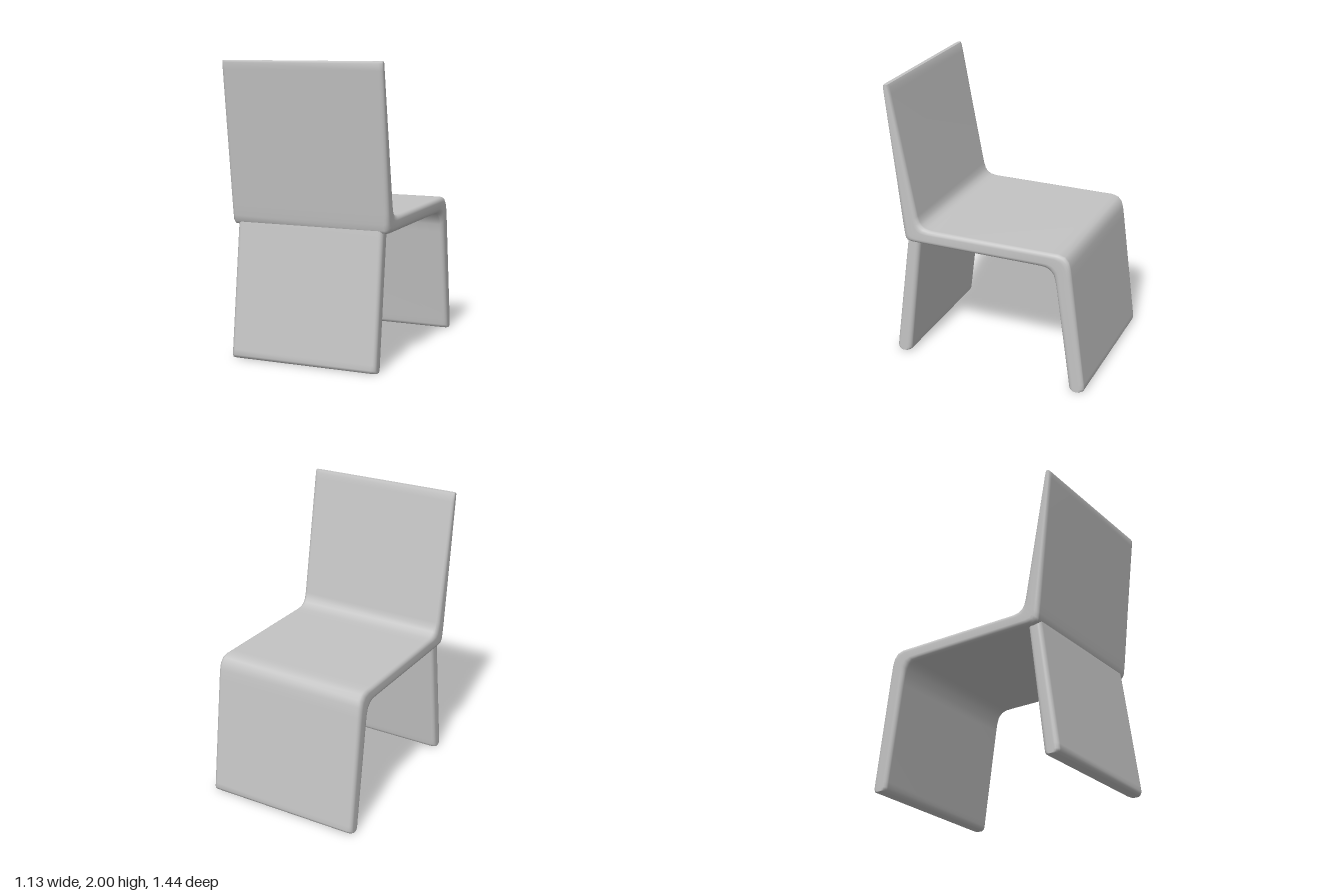
import * as THREE from 'three';

// Unit cross-section: rounded rectangle, x in -1..1 with corner offset, t in 0..1
function roundedSection(halfWidth, rx, rt, steps = 4) {
  const pts = [];
  const corners = [[1, 1], [-1, 1], [-1, 0], [1, 0]];
  corners.forEach(([sx, t], c) => {
    const cx = sx * (halfWidth - rx);
    const ct = t ? 1 - rt : rt;
    for (let i = 0; i <= steps; i++) {
      const a = (c + i / steps) * Math.PI / 2;
      pts.push([cx + rx * Math.cos(a), ct + rt * Math.sin(a)]);
    }
  });
  return pts;
}

// Lofts a bent sheet through stations [zA, yA, zB, yB]: its two faces at each step
function bentSheet(stations, halfWidth) {
  const ring = roundedSection(halfWidth, 0.03, 0.3);
  const n = ring.length;
  const pos = [];
  const index = [];
  const addRing = ([za, ya, zb, yb]) => {
    for (const [x, t] of ring) pos.push(x, ya + (yb - ya) * t, za + (zb - za) * t);
  };
  stations.forEach(addRing);
  for (let i = 0; i < stations.length - 1; i++) {
    for (let j = 0; j < n; j++) {
      const a = i * n + j, b = i * n + (j + 1) % n;
      index.push(a, b, a + n, b, b + n, a + n);
    }
  }
  // flat end caps
  const first = stations.length * n, last = first + n;
  addRing(stations[0]);
  addRing(stations[stations.length - 1]);
  for (let j = 1; j < n - 1; j++) {
    index.push(first, first + j + 1, first + j);
    index.push(last, last + j, last + j + 1);
  }
  const geo = new THREE.BufferGeometry();
  geo.setAttribute('position', new THREE.Float32BufferAttribute(pos, 3));
  geo.setIndex(index);
  geo.computeVertexNormals();
  return geo;
}

export function createModel() {
  const chair = new THREE.Group();
  chair.name = 'chair';
  const grey = new THREE.MeshStandardMaterial({ color: 0xc4c4c4 });
  grey.name = 'light grey';

  const add = (name, stations, halfWidth) => {
    const mesh = new THREE.Mesh(bentSheet(stations, halfWidth), grey);
    mesh.name = name;
    chair.add(mesh);
  };

  // One continuous sheet: tapered backrest, seat and front leg panel
  add('backrestSeatAndFrontLeg', [
    [0.685, 2.0, 0.712, 2.0],
    [0.676, 1.98, 0.72, 1.985],
    [0.667, 1.94, 0.716, 1.94],
    [0.505, 1.09, 0.617, 1.03],
    [0.492, 1.05, 0.608, 0.96],
    [0.475, 1.025, 0.602, 0.92],
    [0.445, 1.007, 0.588, 0.902],
    [0.40, 1.0, 0.55, 0.895],
    [0.34, 1.0, 0.48, 0.895],
    [-0.46, 1.0, -0.36, 0.895],
    [-0.52, 1.0, -0.42, 0.893],
    [-0.565, 0.987, -0.455, 0.88],
    [-0.592, 0.955, -0.485, 0.85],
    [-0.605, 0.91, -0.5, 0.8],
    [-0.615, 0.84, -0.51, 0.74],
    [-0.716, 0.06, -0.606, 0.06],
    [-0.72, 0.025, -0.61, 0.025],
    [-0.713, 0.008, -0.617, 0.008],
    [-0.697, 0, -0.633, 0],
  ], 0.565);

  // Narrower rear leg panel, buried in the underside of the seat
  add('rearLeg', [
    [0.5, 0.935, 0.597, 0.935],
    [0.506, 0.88, 0.605, 0.88],
    [0.606, 0.06, 0.716, 0.06],
    [0.61, 0.025, 0.72, 0.025],
    [0.617, 0.008, 0.713, 0.008],
    [0.633, 0, 0.697, 0],
  ], 0.523);

  return chair;
}
